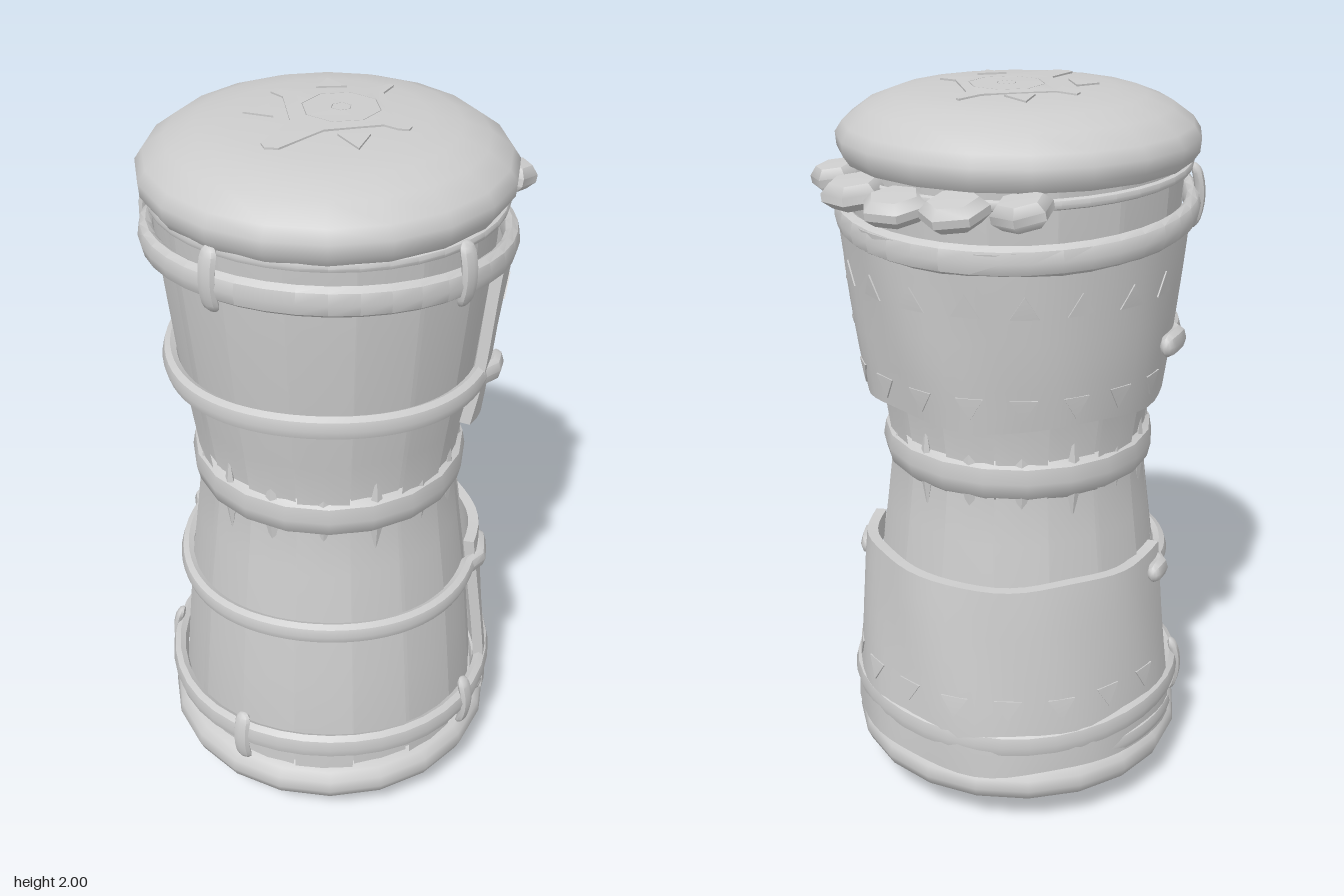
import * as THREE from 'three';
import { toCreasedNormals } from 'three/addons/utils/BufferGeometryUtils.js';

const V = (x, y) => new THREE.Vector2(x, y);
const RAD = Math.PI / 180;
const SIDES = 20;

// Piecewise linear lookup in a [radius, height] profile, by height
function radiusAt(profile, y) {
  for (let i = 1; i < profile.length; i++) {
    const [r0, y0] = profile[i - 1], [r1, y1] = profile[i];
    if (y <= y1) return r0 + (r1 - r0) * Math.max(0, (y - y0) / (y1 - y0));
  }
  return profile[profile.length - 1][0];
}

const bodyProfile = [[0.43, 0.16], [0.428, 0.3], [0.41, 0.5], [0.39, 0.7], [0.37, 0.85], [0.355, 0.97],
  [0.355, 1.08], [0.372, 1.2], [0.395, 1.36], [0.415, 1.55], [0.43, 1.7], [0.437, 1.84]];
const bodyRadius = (y) => radiusAt(bodyProfile, y);

// Bends a flat geometry around the drum: x runs along the arc, y is height, z is radial
function wrap(geo, angle, scale, radius, height = (y) => y) {
  const p = geo.attributes.position;
  for (let i = 0; i < p.count; i++) {
    const y0 = p.getY(i);
    const a = angle + p.getX(i) / scale;
    const y = height(y0, a);
    const r = radius(y, a) + p.getZ(i);
    p.setXYZ(i, r * Math.sin(a), y, r * Math.cos(a));
  }
  return toCreasedNormals(geo, 0.7);
}

export function createModel() {
  const group = new THREE.Group();
  const grey = new THREE.MeshStandardMaterial({ color: 0xcccccc, side: THREE.DoubleSide });
  grey.name = 'light grey';
  const drum = new THREE.Group();
  drum.name = 'drum';
  drum.position.z = 0.04;
  group.add(drum);

  function add(name, geo) {
    const mesh = new THREE.Mesh(geo, grey);
    mesh.name = name;
    drum.add(mesh);
    return mesh;
  }
  const lathe = (pts, sides = SIDES, start = 0, len = Math.PI * 2) =>
    toCreasedNormals(new THREE.LatheGeometry(pts.map(([r, y]) => V(r, y)), sides, start, len), 0.75);

  // Wooden body: a core with slightly uneven staves around it
  add('bodyCore', lathe(bodyProfile.map(([r, y]) => [r - 0.01, y])));
  const staves = 16, step = Math.PI * 2 / staves;
  for (let i = 0; i < staves; i++) {
    const out = 0.006 * Math.sin(i * 2.4);
    add('stave', lathe(bodyProfile.map(([r, y]) => [r + out, y]), 2, i * step + 0.006, step - 0.012));
  }

  // Waist ring with small gathers above and below
  add('waistRing', lathe([[0.35, 0.975], [0.368, 0.99], [0.377, 1.03], [0.37, 1.07], [0.35, 1.085]]));
  for (let i = 0; i < staves; i++) {
    for (const up of [1, -1]) {
      const cone = new THREE.ConeGeometry(0.022, 0.09, 5);
      cone.scale(1, up, 0.5);
      if (up < 0) cone.setIndex([...cone.index.array].reverse());
      add('gather', wrap(cone, (i + 0.5) * step, 0.36, () => bodyRadius(1.1) - 0.004, (y) => y + 1.03 + up * 0.075));
    }
  }

  // Upper and lower skins
  const domeProfile = [[0.475, 1.875], [0.455, 1.905], [0.40, 1.945], [0.33, 1.972], [0.25, 1.985], [0.13, 1.992], [0, 1.994]];
  add('drumHead', lathe([[0.42, 1.82], [0.455, 1.815], [0.472, 1.84], ...domeProfile]));
  add('base', lathe([[0, 0], [0.12, 0.002], [0.24, 0.016], [0.34, 0.045], [0.42, 0.08], [0.463, 0.11],
    [0.476, 0.14], [0.47, 0.17], [0.45, 0.19], [0.41, 0.2]]));

  // Thin inlays that follow the dome of the head
  const domeY = (r) => radiusAt(domeProfile.map(([pr, py]) => [py, pr]).reverse(), r);
  function inlay(name, pts, hole) {
    const shape = new THREE.Shape(pts.map(([x, z]) => V(x, -z)));
    if (hole) shape.holes.push(new THREE.Path(hole.map(([x, z]) => V(x, -z))));
    const geo = new THREE.ExtrudeGeometry(shape, { depth: 0.005, bevelEnabled: false });
    geo.rotateX(-Math.PI / 2);
    const p = geo.attributes.position;
    for (let i = 0; i < p.count; i++) {
      p.setY(i, p.getY(i) + domeY(Math.hypot(p.getX(i), p.getZ(i))));
    }
    add(name, toCreasedNormals(geo, 0.5)).position.x = 0.012;
  }
  const polygon = (n, r, turn) => Array.from({ length: n }, (_, i) => {
    const a = turn + i * Math.PI * 2 / n;
    return [r * Math.cos(a), r * Math.sin(a) - 0.04];
  });
  inlay('headStar', [[0, -0.255], [0.012, -0.25], [0.025, -0.185], [0.14, -0.065], [0.2, -0.05], [0.205, -0.03],
    [0.185, -0.015], [0.145, -0.01], [0.05, 0.1], [0.02, 0.235], [-0.01, 0.25], [-0.032, 0.235],
    [-0.05, 0.1], [-0.16, -0.015], [-0.21, -0.03], [-0.215, -0.055], [-0.16, -0.06], [-0.022, -0.19]],
  polygon(8, 0.1, Math.PI / 8));
  inlay('headCentre', polygon(8, 0.098, Math.PI / 8), polygon(6, 0.027, 0));
  inlay('headDot', polygon(6, 0.025, 0));
  inlay('headTriangle', [[-0.155, -0.195], [-0.075, -0.17], [-0.135, -0.12]]);
  inlay('headTriangle', [[-0.16, 0.04], [-0.1, 0.1], [-0.183, 0.115]]);
  inlay('headTriangle', [[0.15, 0.05], [0.172, 0.13], [0.09, 0.1]]);

  // Leather wraps on the back, bulging away from the body, with triangle marks
  const wrapRadius = (y, a) => bodyRadius(y) + 0.018 + 0.022 * Math.max(0, -Math.cos(a))
    + 0.004 * Math.sin(a * 9 + y * 8);
  function leather(name, from, to, low, high, slant, markRows) {
    const mid = (from + to) / 2 * RAD, scale = 0.43, span = (to - from) * RAD * scale;
    const geo = new THREE.BoxGeometry(span, high - low, 0.03, 30, 8, 1);
    const p = geo.attributes.position;
    for (let i = 0; i < p.count; i++) {
      const s = p.getX(i) / span * 2, t = p.getY(i) / (high - low);
      p.setX(i, p.getX(i) - s * slant * (t + 0.5));
    }
    add(name, wrap(geo, mid, scale, wrapRadius,
      (y, a) => y + (low + high) / 2 + 0.01 * Math.sin(a * 5) * (y < 0 ? 1 : 0.5)));
    for (const [y, up] of markRows) {
      for (let a = from + 24; a < to - 12; a += 18) {
        const mark = new THREE.CylinderGeometry(0.04, 0.04, 0.008, 3);
        mark.rotateX(Math.PI / 2);
        mark.rotateZ(up ? 0 : Math.PI);
        add('leatherMark', wrap(mark, a * RAD, scale, (h, b) => wrapRadius(h, b) + 0.015, (h) => h + y));
      }
    }
  }
  leather('upperLeather', 100, 288, 1.2, 1.68, 0.05, [[1.53, false], [1.27, true]]);
  leather('lowerLeather', 113, 283, 0.2, 0.75, 0, [[0.41, true]]);

  // Straps: flattened rounded cords, closed or with round ends
  function strap(name, from, to, y, half, thick, radius, tilt = () => 0) {
    const scale = 0.44, span = (to - from) * RAD * scale;
    const geo = new THREE.CapsuleGeometry(half, span, 4, 8, 40);
    geo.rotateZ(Math.PI / 2);
    geo.scale(1, 1, thick / half);
    add(name, wrap(geo, (from + to) / 2 * RAD, scale, radius, (h, a) => h + y + tilt(a)));
  }
  const wavy = (a) => 0.008 * Math.sin(a * 3);
  const tilted = (a) => 0.035 * Math.cos(a) + 0.012 * Math.sin(a);
  const push = (from, to, a) => (a / RAD > to || a / RAD < from ? 0.026 : 0);
  strap('topStrap', -180, 180, 1.69, 0.04, 0.022, (y, a) => 0.456 + 0.012 * Math.max(0, -Math.cos(a)), tilted);
  strap('bottomStrap', -180, 180, 0.3, 0.038, 0.022, (y, a) => 0.455 + 0.012 * Math.max(0, -Math.cos(a)), wavy);
  strap('hemStrap', 113, 283, 0.225, 0.03, 0.02, () => 0.452);
  strap('upperStrap', -86, 114, 1.35, 0.033, 0.022, (y, a) => 0.418 + push(-73, 104, a), wavy);
  strap('lowerStrap', -86, 126, 0.68, 0.03, 0.022, (y, a) => 0.408 + push(-79, 112, a), wavy);
  strap('neckCord', -180, 180, 1.795, 0.014, 0.012, () => 0.443, (a) => 0.014 * Math.cos(a));

  // Short clips over the top and bottom straps
  for (const [a, y] of [[0, 1.74], [80, 1.73], [-62, 1.71], [4, 0.285], [93, 0.285], [-62, 0.285]]) {
    const clip = new THREE.CapsuleGeometry(0.024, 0.125, 3, 8, 6);
    clip.scale(1, 1, 0.6);
    add('clip', wrap(clip, a * RAD, 0.46, (h) => 0.474 - 2.5 * (h - y) ** 2, (h) => h + y));
  }

  // Chipped flat stones hung on the back of the neck cord
  const stones = [[-0.265, -0.365, 0.078, 1.78], [-0.12, -0.43, 0.086, 1.775], [0.045, -0.44, 0.086, 1.765],
    [0.195, -0.405, 0.083, 1.775], [0.312, -0.325, 0.068, 1.785]];
  stones.forEach(([x, z, r, y], i) => {
    const geo = lathe([[0, -0.034], [r * 0.7, -0.032], [r, -0.01], [r, 0.01], [r * 0.72, 0.032], [0, 0.034]], 6);
    const stone = add('stone', geo);
    stone.position.set(x, y, z - 0.04);
    stone.rotation.set(-0.15, i * 0.7 + 0.3, 0.05 * (i - 2));
  });

  return group;
}
